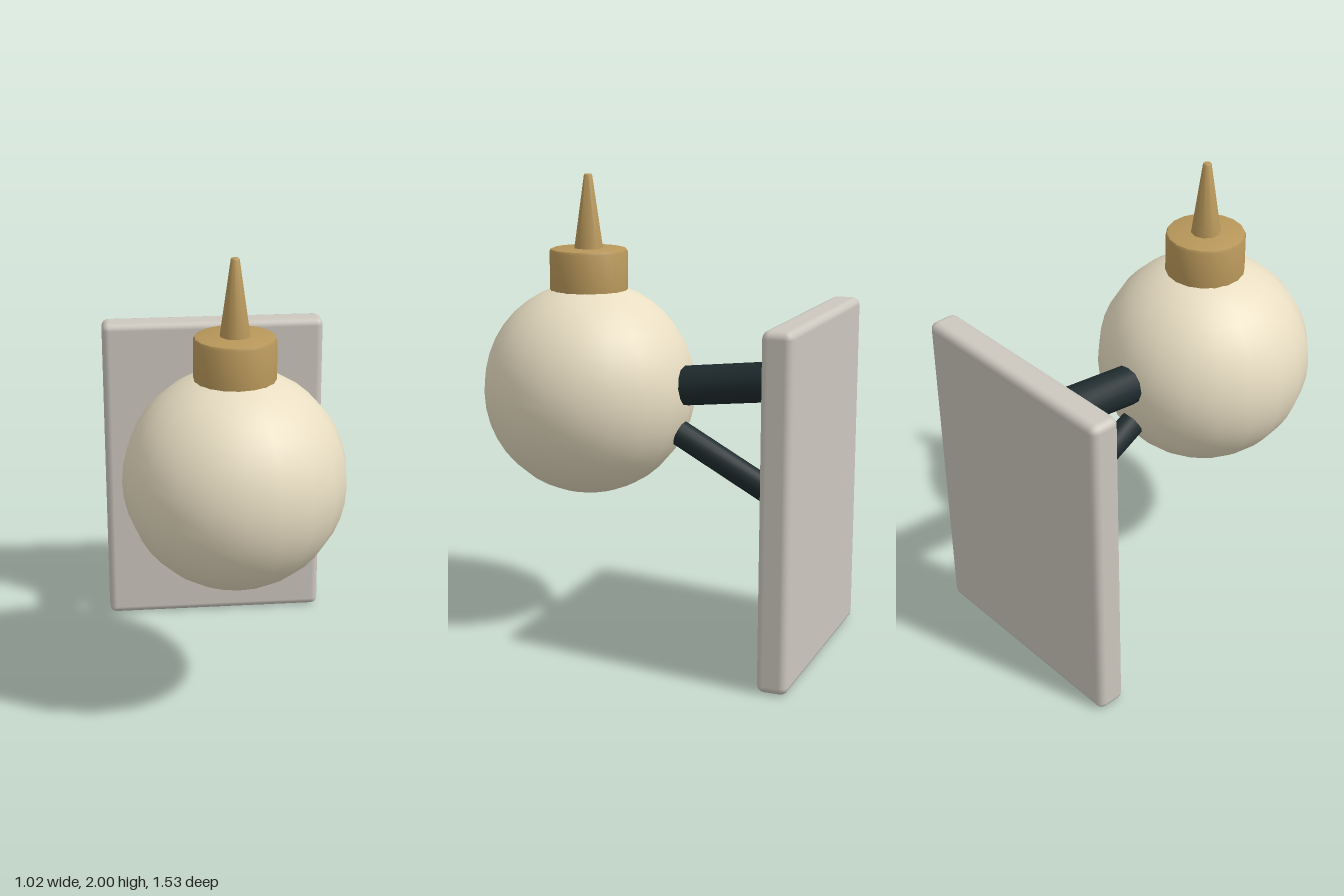
import * as THREE from 'three';
import { RoundedBoxGeometry } from 'three/addons/geometries/RoundedBoxGeometry.js';
import { toCreasedNormals } from 'three/addons/utils/BufferGeometryUtils.js';

const CENTER = new THREE.Vector3(0, 1.08, 0.305);

const material = (color) => new THREE.MeshStandardMaterial({ color });

function addPart(group, name, geometry, mat, x = 0, y = 0, z = 0) {
  const mesh = new THREE.Mesh(geometry, mat);
  mesh.name = name;
  mesh.position.set(x, y, z);
  group.add(mesh);
  return mesh;
}

// Closed turned part with sharp edges kept, from [radius, height] pairs
function turned(profile, sides) {
  const points = profile.map(([r, y]) => new THREE.Vector2(r, y));
  return toCreasedNormals(new THREE.LatheGeometry(points, sides), 0.7);
}

// Round bar running from one point to another
function addBar(group, name, from, to, radius, mat) {
  const direction = to.clone().sub(from);
  const length = direction.length();
  const b = 0.008;
  const geometry = turned([
    [0, 0], [radius - b, 0], [radius, b],
    [radius, length - b], [radius - b, length], [0, length],
  ], 12);
  const bar = addPart(group, name, geometry, mat, from.x, from.y, from.z);
  bar.quaternion.setFromUnitVectors(new THREE.Vector3(0, 1, 0), direction.normalize());
}

export function createModel() {
  const model = new THREE.Group();
  model.name = 'wallLamp';
  const cream = material(0xe9dec3);
  const brass = material(0xb8975a);
  const dark = material(0x1f2b2e);
  const stone = material(0xccc7be);

  // Wall plate with softened edges
  addPart(model, 'wallPlate', new RoundedBoxGeometry(1.02, 1.465, 0.13, 2, 0.032), stone, 0, 0.7325, -0.7);

  // Globe
  addPart(model, 'globe', new THREE.SphereGeometry(0.462, 20, 20), cream, CENTER.x, CENTER.y, CENTER.z);

  // Collar and pointed finial on top of the globe
  addPart(model, 'collar', turned([
    [0, 0], [0.168, 0], [0.168, 0.168], [0.163, 0.179], [0.152, 0.183], [0, 0.183],
  ], 18), brass, 0, 1.503, CENTER.z);
  addPart(model, 'finial', turned([
    [0, 0], [0.064, 0], [0.018, 0.32], [0.014, 0.325], [0, 0.325],
  ], 10), brass, 0, 1.675, CENTER.z);

  // Support arms between globe and plate
  addBar(model, 'upperArm', new THREE.Vector3(0, 1.1, 0.02), new THREE.Vector3(0, 1.176, -0.625), 0.086, dark);
  addBar(model, 'lowerArm', new THREE.Vector3(0, 0.973, 0), new THREE.Vector3(0, 0.64, -0.615), 0.056, dark);

  return model;
}
